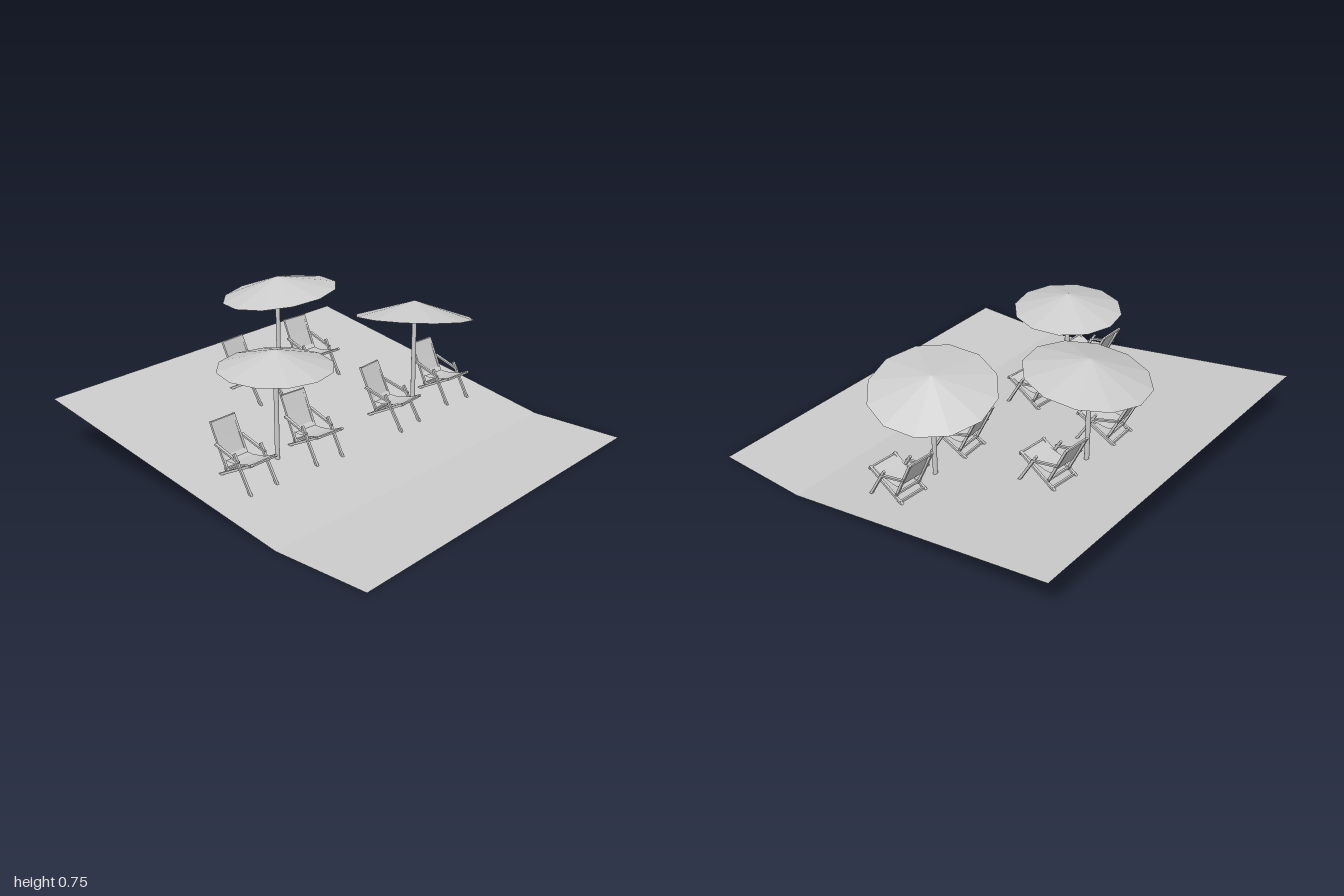
import * as THREE from 'three';

const mat = new THREE.MeshStandardMaterial({ color: 0xcccccc, flatShading: true, side: THREE.DoubleSide });
const smooth = new THREE.MeshStandardMaterial({ color: 0xcccccc });
const groundY = z => Math.max(0, 0.29 * (0.5 - z) / 1.5);

function add(parent, name, geometry, material = mat) {
  const mesh = new THREE.Mesh(geometry, material);
  mesh.name = name;
  parent.add(mesh);
  return mesh;
}

// Sheet swept across x from a side profile of [z, y] points
function strip(profile, width) {
  const g = new THREE.PlaneGeometry(width, 1, 1, profile.length - 1);
  const p = g.attributes.position;
  for (let i = 0; i < p.count; i++) {
    const [z, y] = profile[Math.floor(i / 2)];
    p.setXYZ(i, p.getX(i), y, z);
  }
  g.computeVertexNormals();
  return g;
}

// Square timber between two points
function bar(parent, name, a, b, w = 0.012, d = w) {
  const from = new THREE.Vector3(...a), to = new THREE.Vector3(...b);
  const mesh = add(parent, name, new THREE.BoxGeometry(w, d, from.distanceTo(to)));
  mesh.position.copy(from).add(to).multiplyScalar(0.5);
  mesh.lookAt(to);
  return mesh;
}

// Deck chair, origin on the ground midway between the front feet
function createChair() {
  const chair = new THREE.Group();
  chair.name = 'deckChair';
  for (const s of [-1, 1]) {
    const inner = s * 0.068, mid = s * 0.075, outer = s * 0.082;
    bar(chair, 'frontLeg', [outer, -0.005, 0], [outer, 0.175, -0.105]);
    bar(chair, 'seatRail', [mid, 0.148, 0.003], [mid, 0.02, -0.245]);
    bar(chair, 'backPost', [inner, 0.282, -0.27], [inner, 0.06, -0.165]);
    bar(chair, 'armrest', [outer, 0.14, -0.075], [outer, 0.185, -0.228], 0.014, 0.009);
  }
  // Cross bars
  const cross = (name, y, z, half) => bar(chair, name, [-half, y, z], [half, y, z], 0.01);
  cross('topBar', 0.276, -0.266, 0.072);
  cross('seatFrontBar', 0.143, -0.004, 0.086);
  cross('rearBar', 0.045, -0.197, 0.078);
  cross('lowerBackBar', 0.075, -0.172, 0.078);
  // Sling of cloth, back and seat
  add(chair, 'clothSling', strip([
    [-0.262, 0.28], [-0.225, 0.195], [-0.195, 0.13], [-0.175, 0.114],
    [-0.14, 0.113], [-0.07, 0.125], [0, 0.149],
  ], 0.134));
  return chair;
}

// Parasol: rim centre x, y, z, radius, canopy slopes along x and z
function createParasol([x, y, z, radius, slopeX, slopeZ]) {
  const parasol = new THREE.Group();
  parasol.name = 'parasol';
  const up = new THREE.Vector3(-slopeX, 1, -slopeZ).normalize();
  const height = 0.088;
  // Twelve-panel open canopy
  const cone = new THREE.ConeGeometry(radius, height, 12, 1, true);
  cone.rotateY(-0.06).translate(0, height / 2, 0);
  const canopy = add(parasol, 'canopy', cone);
  canopy.position.set(x, y, z);
  canopy.quaternion.setFromUnitVectors(new THREE.Vector3(0, 1, 0), up);
  // Upright pole sunk a little into the ground
  const apex = up.clone().multiplyScalar(height).add(canopy.position);
  const bottom = groundY(z) - 0.028, top = apex.y - 0.012;
  const pole = add(parasol, 'pole', new THREE.CylinderGeometry(0.012, 0.012, top - bottom, 12), smooth);
  pole.position.set(apex.x, (top + bottom) / 2, apex.z);
  return parasol;
}

export function createModel() {
  const model = new THREE.Group();
  model.name = 'beach';

  // Beach: flat strip in front, slope rising to the back
  add(model, 'ground', strip([[-1, groundY(-1)], [0.5, 0], [1, 0]], 2));

  const parasols = [
    [0.13, 0.665, -0.55, 0.303, 0.082, 0.1],
    [-0.475, 0.555, 0.005, 0.277, 0, 0],
    [0.528, 0.555, 0.03, 0.309, -0.18, 0.12],
  ];
  for (const p of parasols) model.add(createParasol(p));

  // Chairs: x and z of the front feet, yaw
  const chairs = [
    [-0.715, 0.155, -0.02], [-0.285, 0.17, -0.09],
    [0.305, 0.195, 0.07], [0.735, 0.175, -0.07],
    [-0.105, -0.39, 0.05], [0.325, -0.39, -0.09],
  ];
  for (const [x, z, yaw] of chairs) {
    const chair = createChair();
    chair.position.set(x, groundY(z), z);
    chair.rotation.y = yaw;
    model.add(chair);
  }
  return model;
}
